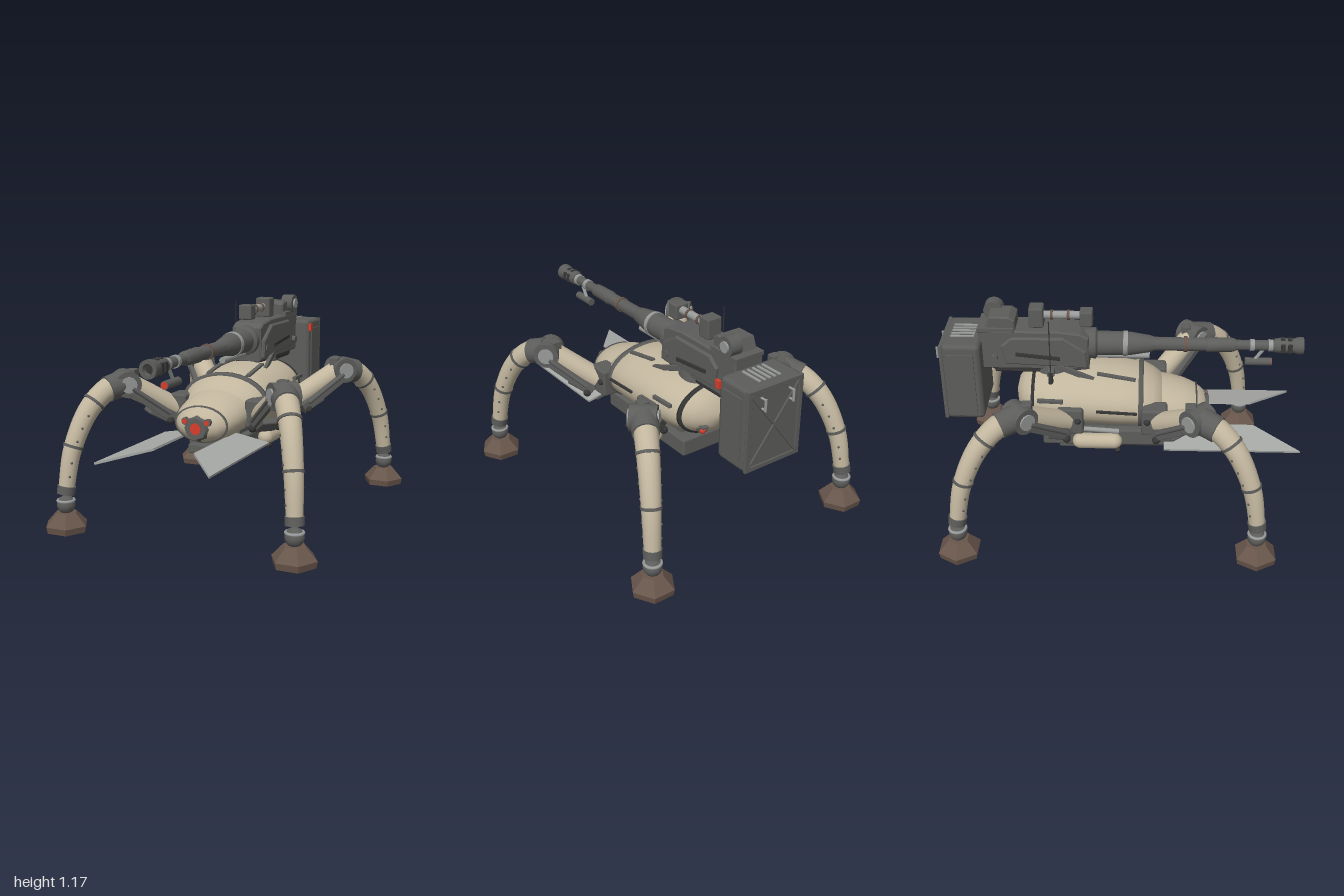
import * as THREE from 'three';
import { toCreasedNormals } from 'three/addons/utils/BufferGeometryUtils.js';
import { RoundedBoxGeometry } from 'three/addons/geometries/RoundedBoxGeometry.js';

const mat = (name, color) => {
  const m = new THREE.MeshStandardMaterial({ color });
  m.name = name;
  return m;
};
const V = (x, y, z) => new THREE.Vector3(x, y, z);

export function createModel() {
  const root = new THREE.Group();
  root.name = 'walkerTurret';
  const beige = mat('beigeArmour', 0xc2b69e), dark = mat('gunMetal', 0x5d5e5c);
  const black = mat('blackSteel', 0x363736), light = mat('lightSteel', 0x979a98);
  const brown = mat('brownFoot', 0x68564b), red = mat('redLamp', 0xd93e2c);
  const plate = mat('greyPanel', 0xa7a9a6);

  const add = (name, geo, m, parent = root) => {
    const mesh = new THREE.Mesh(geo, m);
    mesh.name = name;
    parent.add(mesh);
    return mesh;
  };
  const box = (name, w, h, d, x, y, z, m = dark, parent = root) => {
    const g = new RoundedBoxGeometry(w, h, d, 1, Math.min(w, h, d) * 0.12);
    const mesh = add(name, g, m, parent);
    mesh.position.set(x, y, z);
    return mesh;
  };
  const ball = (name, r, p, m, parent = root, n = 16) => {
    const mesh = add(name, new THREE.SphereGeometry(r, n, n / 2), m, parent);
    mesh.position.copy(p);
    return mesh;
  };
  // round bar from a to b
  const rod = (name, a, b, r0, r1, m = dark, parent = root, n = 16) => {
    const mesh = add(name, new THREE.CylinderGeometry(r1, r0, a.distanceTo(b), n), m, parent);
    mesh.position.copy(a).lerp(b, 0.5);
    mesh.quaternion.setFromUnitVectors(V(0, 1, 0), b.clone().sub(a).normalize());
    return mesh;
  };
  // square beam from a to b
  const beam = (name, a, b, w, h, m = dark, parent = root) => {
    const mesh = box(name, w, h, a.distanceTo(b), 0, 0, 0, m, parent);
    mesh.position.copy(a).lerp(b, 0.5);
    mesh.lookAt(b);
    return mesh;
  };
  // turned part along z, from [radius, z] pairs
  const turned = (name, pts, m, y = 0.95) => {
    const g = new THREE.LatheGeometry(pts.map(p => new THREE.Vector2(...p)), 24).rotateX(Math.PI / 2);
    return add(name, toCreasedNormals(g, 0.5), m).position.y = y;
  };
  // side profile of [z, y] points, extruded across x
  const slab = (name, pts, w, x, m = dark) => {
    const shape = new THREE.Shape(pts.map(p => new THREE.Vector2(...p)));
    const b = 0.008;
    const g = new THREE.ExtrudeGeometry(shape, { depth: w - 2 * b, bevelSize: b, bevelOffset: -b, bevelThickness: b, bevelSegments: 1 });
    return add(name, g.rotateY(-Math.PI / 2).translate(x + w / 2 - b, 0, 0), m);
  };
  // oval hull from [z, centreY, radiusX, radiusY], front to back
  const hull = (name, secs, m) => {
    const n = 40, pos = [], idx = [];
    secs.forEach(([z, cy, rx, ry], i) => {
      for (let j = 0; j < n; j++) {
        const a = j / n * Math.PI * 2;
        pos.push(Math.cos(a) * rx, cy + Math.sin(a) * ry, z);
        if (!i) continue;
        const k = (j + 1) % n, p = (i - 1) * n, q = i * n;
        idx.push(p + j, q + j, p + k, p + k, q + j, q + k);
      }
    });
    const g = new THREE.BufferGeometry();
    g.setAttribute('position', new THREE.Float32BufferAttribute(pos, 3));
    g.setIndex(idx);
    g.computeVertexNormals();
    return add(name, g, m);
  };
  const band = (name, z, cy, rx, ry, w, m = black) => hull(name, [
    [z + w, cy, rx - 0.02, ry - 0.02], [z + w * 0.9, cy, rx, ry], [z - w * 0.9, cy, rx, ry], [z - w, cy, rx - 0.02, ry - 0.02]], m);

  // Body
  hull('torso', [[0.24, 0.6, 0.15, 0.1], [0.235, 0.605, 0.195, 0.122], [0.19, 0.62, 0.225, 0.137], [0.12, 0.642, 0.247, 0.153],
    [0, 0.652, 0.256, 0.163], [-0.2, 0.662, 0.258, 0.165], [-0.36, 0.665, 0.25, 0.16], [-0.46, 0.662, 0.217, 0.145],
    [-0.52, 0.657, 0.165, 0.115], [-0.56, 0.652, 0.1, 0.07], [-0.577, 0.65, 0.002, 0.002]], beige);
  hull('head', [[0.495, 0.565, 0.002, 0.002], [0.49, 0.565, 0.06, 0.045], [0.47, 0.567, 0.11, 0.072], [0.43, 0.574, 0.15, 0.096],
    [0.36, 0.585, 0.178, 0.114], [0.28, 0.596, 0.19, 0.124], [0.22, 0.602, 0.193, 0.127]], beige);
  band('frontBand', 0.12, 0.642, 0.257, 0.163, 0.014, dark);
  band('rearBand', -0.47, 0.662, 0.219, 0.147, 0.01);
  band('headSeam', 0.43, 0.574, 0.154, 0.1, 0.005, dark);

  // Face lamps
  const mount = rod('eyeMount', V(0, 0.562, 0.45), V(0, 0.562, 0.503), 0.08, 0.058, dark, root, 8);
  mount.scale.x = 1.1;
  rod('eye', V(0, 0.562, 0.48), V(0, 0.562, 0.505), 0.031, 0.031, red, root, 20);
  for (const s of [-1, 1]) {
    rod('smallEyeSocket', V(s * 0.064, 0.598, 0.44), V(s * 0.064, 0.598, 0.497), 0.02, 0.02);
    rod('smallEye', V(s * 0.064, 0.598, 0.48), V(s * 0.064, 0.598, 0.501), 0.014, 0.014, red);
    rod('tailLampSocket', V(s * 0.1, 0.6, -0.48), V(s * 0.11, 0.583, -0.54), 0.026, 0.024);
    beam('tailLampHood', V(s * 0.1, 0.612, -0.52), V(s * 0.11, 0.604, -0.57), 0.04, 0.01);
    ball('tailLamp', 0.017, V(s * 0.11, 0.58, -0.544), red);

    // Flank rails and top strips
    beam('flankRail', V(s * 0.259, 0.655, 0.1), V(s * 0.264, 0.67, -0.12), 0.012, 0.014, black);
    beam('flankSlot', V(s * 0.248, 0.72, -0.3), V(s * 0.24, 0.72, -0.44), 0.02, 0.02);
    beam('topStrip', V(s * 0.12, 0.787, 0.09), V(s * 0.12, 0.825, -0.12), 0.025, 0.012);
    beam('gunBrace', V(s * 0.13, 0.79, -0.14), V(s * 0.1, 0.86, -0.34), 0.02, 0.03);

    // Swept side panels, sloping down and outward
    const outline = [[0, 0.75], [s * 0.202, 0.992], [s * 0.202, 0.25], [0, 0.25]].map(p => new THREE.Vector2(...p));
    const panel = add('sidePanel', new THREE.ExtrudeGeometry(new THREE.Shape(outline), { depth: 0.012, bevelEnabled: false })
      .rotateX(Math.PI / 2), plate);
    panel.position.set(s * 0.115, 0.503, 0);
    panel.rotation.z = -s * 0.18;
    beam('panelArm', V(s * 0.12, 0.488, 0.27), V(s * 0.26, 0.463, 0.27), 0.05, 0.015);

    // Belly tanks and pipes
    const tank = add('bellyTank', new THREE.CapsuleGeometry(0.044, 0.19, 6, 16).rotateX(Math.PI / 2), beige);
    tank.position.set(s * 0.183, 0.425, -0.12);
    rod('bellyPipe', V(s * 0.16, 0.475, 0), V(s * 0.16, 0.49, -0.22), 0.014, 0.014, light);
    rod('bellyNozzle', V(s * 0.18, 0.41, -0.02), V(s * 0.222, 0.38, 0), 0.014, 0.014, black);
  }

  // Belly unit
  box('bellyBox', 0.29, 0.1, 0.72, 0, 0.42, -0.07);
  box('bellyMount', 0.2, 0.06, 0.5, 0, 0.49, -0.1);
  box('bellyNose', 0.16, 0.05, 0.16, 0, 0.435, 0.35);
  box('bellyTray', 0.17, 0.045, 0.65, 0, 0.355, -0.04);
  for (const s of [-1, 1]) box('traySkid', 0.02, 0.02, 0.6, s * 0.07, 0.333, -0.04, black);
  box('bellySensor', 0.16, 0.07, 0.12, 0, 0.343, -0.285);

  // Gun body
  rod('turntable', V(0, 0.76, -0.36), V(0, 0.85, -0.36), 0.115, 0.1, dark, root, 32);
  slab('receiver', [[-0.165, 0.83], [-0.165, 1.02], [-0.21, 1.045], [-0.33, 1.06], [-0.76, 1.06], [-0.76, 0.83]], 0.18, 0);
  slab('receiverBase', [[-0.18, 0.82], [-0.2, 0.85], [-0.7, 0.85], [-0.68, 0.8], [-0.3, 0.8]], 0.15, 0, black);
  for (const s of [-1, 1]) {
    slab('cheekPlate', [[-0.17, 0.85], [-0.18, 0.95], [-0.3, 1.03], [-0.58, 1.03], [-0.64, 0.98], [-0.62, 0.87]], 0.025, s * 0.098);
    beam('cheekBar', V(s * 0.114, 0.91, -0.32), V(s * 0.114, 0.935, -0.56), 0.012, 0.02, black);
    for (const z of [-0.22, -0.68]) rod('receiverBolt', V(s * 0.08, 0.9, z), V(s * 0.116, 0.9, z), 0.02, 0.02);
  }

  // Barrel
  turned('barrelJacket', [[0, -0.2], [0.085, -0.2], [0.085, -0.13], [0.068, -0.12], [0.066, 0], [0, 0]], dark);
  turned('jacketCollar', [[0.06, 0.02], [0.07, 0.02], [0.068, 0.045], [0.05, 0.045]], light);
  turned('barrel', [[0.066, -0.01], [0.064, 0.06], [0.046, 0.17], [0.038, 0.19], [0.036, 0.47], [0.041, 0.475], [0.038, 0.62],
    [0.028, 0.64], [0.028, 0.84]], dark);
  turned('barrelRing', [[0.03, 0.35], [0.043, 0.35], [0.043, 0.37], [0.03, 0.37]], brown);
  for (const z of [0.71, 0.81]) turned('barrelClamp', [[0.02, z], [0.033, z], [0.033, z + 0.025], [0.02, z + 0.025]], light);
  turned('muzzleBrake', [[0.02, 0.84], [0.036, 0.84], [0.042, 0.87], [0.04, 0.95], [0.047, 0.97], [0.047, 1], [0.028, 1], [0.024, 0.94]], dark);
  turned('bore', [[0.026, 0.97], [0, 0.97]], black);
  for (const z of [0.887, 0.925]) {
    box('brakeSlot', 0.09, 0.05, 0.024, 0, 0.95, z, black);
    box('brakeSlotTop', 0.036, 0.086, 0.024, 0, 0.95, z, black);
  }
  rod('lowerTube', V(0, 0.877, -0.17), V(0, 0.877, 0.165), 0.018, 0.018, light);
  rod('pointer', V(0, 0.848, 0.69), V(0, 0.848, 0.835), 0.022, 0.022);
  rod('pointerLens', V(0, 0.848, 0.83), V(0, 0.848, 0.838), 0.018, 0.018, red);
  rod('pointerStrut', V(0, 0.855, 0.74), V(0, 0.93, 0.79), 0.01, 0.01, light);

  // Sight and sensors
  box('sightFront', 0.08, 0.085, 0.07, 0, 1.11, -0.18);
  rod('sightTube', V(0, 1.12, -0.2), V(0, 1.12, -0.43), 0.022, 0.022, light);
  for (const z of [-0.27, -0.36]) rod('sightRing', V(0, 1.12, z), V(0, 1.12, z - 0.014), 0.028, 0.028, brown);
  box('sightRear', 0.09, 0.115, 0.08, 0, 1.115, -0.45);
  box('sensorBase', 0.18, 0.025, 0.2, 0, 1.065, -0.665);
  slab('sensorBox', [[-0.56, 1.06], [-0.56, 1.12], [-0.59, 1.14], [-0.7, 1.14], [-0.73, 1.06]], 0.15, -0.005);
  rod('sensorDrum', V(0.03, 1.12, -0.69), V(0.1, 1.12, -0.69), 0.053, 0.053, dark, root, 24);
  rod('sensorCap', V(0.1, 1.12, -0.69), V(0.11, 1.12, -0.69), 0.03, 0.03, light);
  rod('antennaBase', V(-0.155, 0.78, -0.37), V(-0.155, 0.85, -0.37), 0.014, 0.012, black);
  rod('antenna', V(-0.155, 0.84, -0.37), V(-0.155, 1.155, -0.37), 0.003, 0.003, black);
  box('antennaBracket', 0.07, 0.03, 0.04, -0.125, 0.84, -0.37);

  // Ammunition pack
  box('pack', 0.355, 0.46, 0.215, 0, 0.783, -0.85);
  for (const s of [-1, 1]) {
    beam('packBrace', V(s * 0.155, 0.58, -0.957), V(-s * 0.155, 0.985, -0.957), 0.018, 0.014);
    box('packRim', 0.025, 0.45, 0.02, s * 0.163, 0.783, -0.955);
    box('packRimBar', 0.33, 0.025, 0.02, 0, 0.783 + s * 0.212, -0.955);
    box('packRib', 0.012, 0.38, 0.14, s * 0.178, 0.77, -0.85);
    for (const y of [0.9, 0.955]) rod('handlePost', V(s * 0.09, y, -0.95), V(s * 0.09, y, -0.995), 0.006, 0.006, light);
    rod('handleGrip', V(s * 0.09, 0.895, -0.99), V(s * 0.09, 0.96, -0.99), 0.007, 0.007, light);
  }
  for (let i = -2; i <= 2; i++) box('packVent', 0.013, 0.02, 0.13, i * 0.032, 1.01, -0.85, light);
  box('packLamp', 0.018, 0.045, 0.032, 0.186, 0.97, -0.75, red);

  // Legs
  const leg = (sx, hz, kz, fz) => {
    const g = new THREE.Group();
    g.name = (fz > 0 ? 'front' : 'rear') + (sx > 0 ? 'Left' : 'Right') + 'Leg';
    root.add(g);
    const at = (x, y, z) => V(sx * x, y, z);
    const hip = at(0.26, 0.605, hz + Math.sign(fz) * 0.03), knee = at(0.46, 0.76, kz);
    const out = V(knee.x - hip.x, 0, knee.z - hip.z).normalize();
    const across = V(-out.z, 0, out.x);
    const off = (p, a, dy = 0, o = 0) => p.clone().addScaledVector(across, a).addScaledVector(out, o).add(V(0, dy, 0));

    box('hipBlock', 0.11, 0.155, 0.14, sx * 0.23, 0.612, hz, dark, g);
    ball('hipBolt', 0.018, at(0.285, 0.62, hz - Math.sign(fz) * 0.04), black, g);
    rod('thigh', hip, knee, 0.06, 0.065, beige, g, 20);
    beam('thighFrame', off(hip, 0, -0.05, 0.02), off(hip, 0, 0.02, 0.15), 0.12, 0.075, dark, g);
    for (const a of [-0.068, 0.068]) {
      beam('thighRail', off(hip, a, -0.05, 0.02), off(knee, a, -0.03, -0.01), 0.022, 0.055, dark, g);
      rod('pistonShaft', off(hip, a * 1.12, -0.015, 0.05), off(knee, a * 1.12, -0.02, -0.02), 0.012, 0.012, dark, g);
      ball('pistonFoot', 0.022, off(hip, a * 1.1, -0.055, 0.05), black, g);
    }

    // Knee joint
    rod('kneeDrum', off(knee, -0.07), off(knee, 0.07), 0.072, 0.072, dark, g, 24);
    rod('kneeDisc', off(knee, -0.08), off(knee, 0.08), 0.044, 0.044, light, g, 24);
    box('kneeCap', 0.055, 0.05, 0.055, sx * 0.44, 0.81, kz - Math.sign(fz) * 0.04, dark, g);

    // Curved shin, tapering to the ankle
    const path = new THREE.CatmullRomCurve3([[0, 0.765], [0.3, 0.738], [0.6, 0.64], [0.87, 0.44], [1, 0.2]]
      .map(([t, y]) => at(0.46 + 0.19 * t, y, kz + (fz - kz) * t)));
    const N = 24, R = 16, radius = t => 0.066 - 0.024 * t;
    const shin = new THREE.TubeGeometry(path, N, 1, R);
    const pos = shin.attributes.position, v = V(0, 0, 0);
    for (let i = 0; i < pos.count; i++) {
      const t = Math.floor(i / (R + 1)) / N, c = path.getPointAt(t);
      v.fromBufferAttribute(pos, i).sub(c).multiplyScalar(radius(t)).add(c);
      pos.setXYZ(i, v.x, v.y, v.z);
    }
    add('shin', shin, beige, g);
    const cuff = (name, t0, t1, extra, m) => rod(name, path.getPointAt(t0), path.getPointAt(t1), radius(t0) + extra, radius(t1) + extra, m, g, 20);
    cuff('kneeSleeve', 0.02, 0.16, 0.008, dark);
    cuff('upperBand', 0.29, 0.31, 0.005, dark);
    cuff('lowerBand', 0.64, 0.66, 0.005, dark);
    cuff('ankleCuff', 0.94, 1, 0.006, dark);
    for (const t of [0.4, 0.5, 0.6, 0.76, 0.86]) {
      for (const a of [-1, 1]) ball('shinBolt', 0.007, off(path.getPointAt(t), a * radius(t)), dark, g, 8);
    }

    // Ankle and six-sided foot
    ball('ankleBall', 0.05, at(0.65, 0.142, fz), dark, g);
    const ring = add('ankleRing', new THREE.TorusGeometry(0.043, 0.009, 8, 20).rotateX(Math.PI / 2), light, g);
    ring.position.copy(at(0.65, 0.165, fz));
    for (const [name, r0, r1, y0, y1] of [['footSole', 0.113, 0.12, 0, 0.035], ['footTop', 0.12, 0.058, 0.035, 0.102]]) {
      const geo = new THREE.CylinderGeometry(r1, r0, y1 - y0, 6).rotateY(Math.PI / 2).toNonIndexed();
      geo.computeVertexNormals();
      add(name, geo, brown, g).position.copy(at(0.65, (y0 + y1) / 2, fz));
    }
  };
  for (const s of [-1, 1]) {
    leg(s, 0.195, 0.42, 0.75);
    leg(s, -0.26, -0.51, -0.85);
  }
  return root;
}
